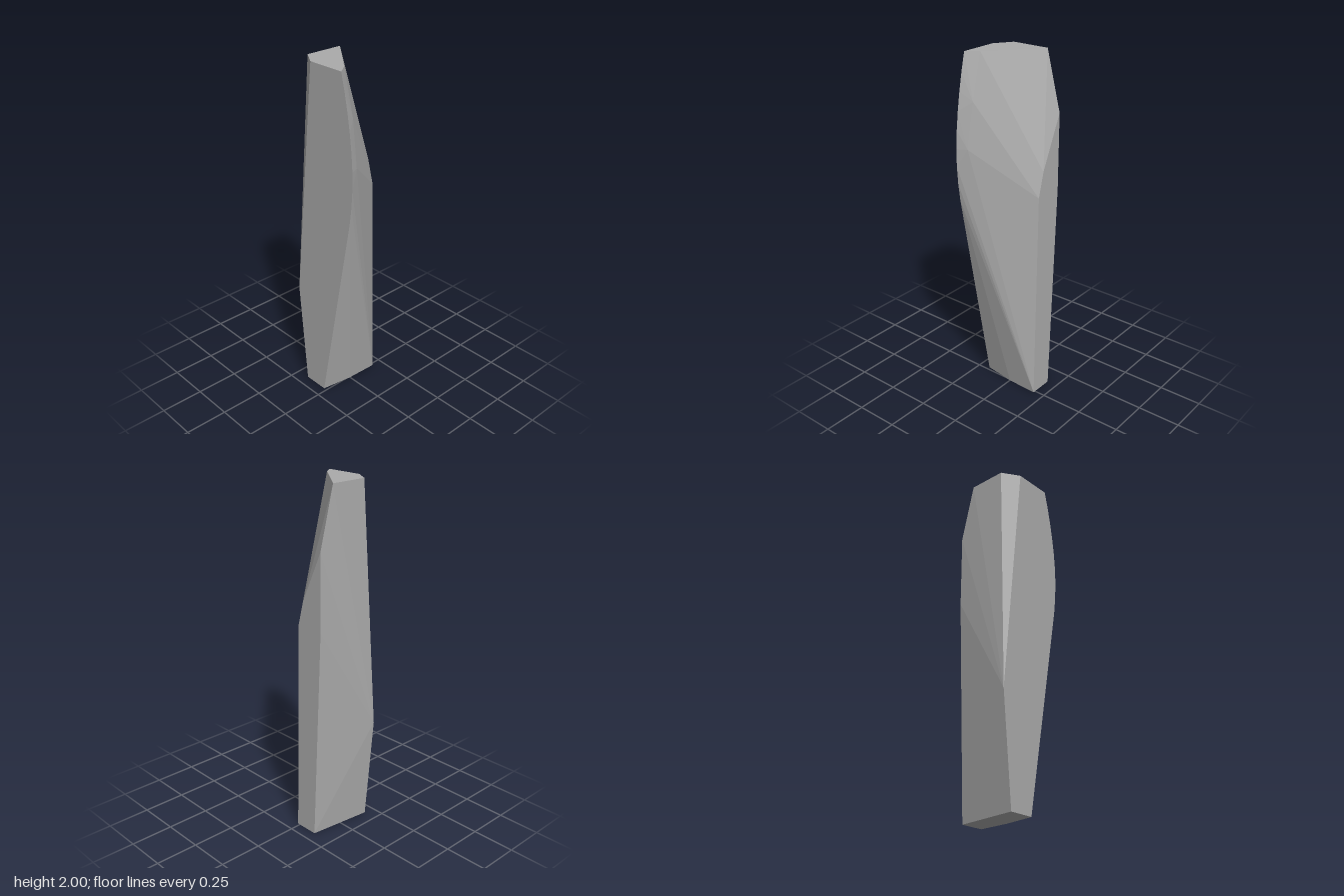
import * as THREE from 'three';
import { ConvexGeometry } from 'three/addons/geometries/ConvexGeometry.js';

// A convex faceted slab, built as the hull of its corner points
export function createModel() {
  const L = -0.185, R = 0.185;
  const V = (x, y, z) => new THREE.Vector3(x, y, z);

  // Base, with a slightly bowed front edge
  const base = [V(L, 0, -0.17), V(L, 0, -0.02), V(0, 0, 0.008), V(R, 0, 0.015), V(R, 0, -0.125)];

  // Flat top
  const top = [V(L, 2, -0.08), V(-0.12, 2, -0.178), V(0.1, 2, -0.178), V(-0.12, 2, 0.095), V(L, 2, 0.145)];

  // Narrow +x side: upper end tapers to the back
  const side = [V(R, 1.24, -0.008), V(R, 1.38, -0.045), V(R, 1.67, -0.178), V(R, 1.24, -0.178)];

  // Ridge point on the back
  const ridge = [V(L, 0.62, -0.225)];

  // Curved front edge of the -x side: [y, z]
  const bow = [[1.2, 0.204], [1.3, 0.217], [1.4, 0.224], [1.5, 0.224], [1.6, 0.217],
    [1.7, 0.205], [1.8, 0.189], [1.9, 0.169]].map(([y, z]) => V(L, y, z));

  // Soft bevel just inside the bowed edge
  const bevel = [V(-0.13, 1.5, 0.197), V(-0.12, 1.75, 0.158)];

  const stone = new THREE.MeshStandardMaterial({ color: 0xaaaaaa, flatShading: true });
  stone.name = 'grey stone';
  const slab = new THREE.Mesh(new ConvexGeometry([...base, ...top, ...side, ...ridge, ...bow, ...bevel]), stone);
  slab.name = 'slab';

  const group = new THREE.Group();
  group.name = 'standingStone';
  group.add(slab);
  return group;
}
